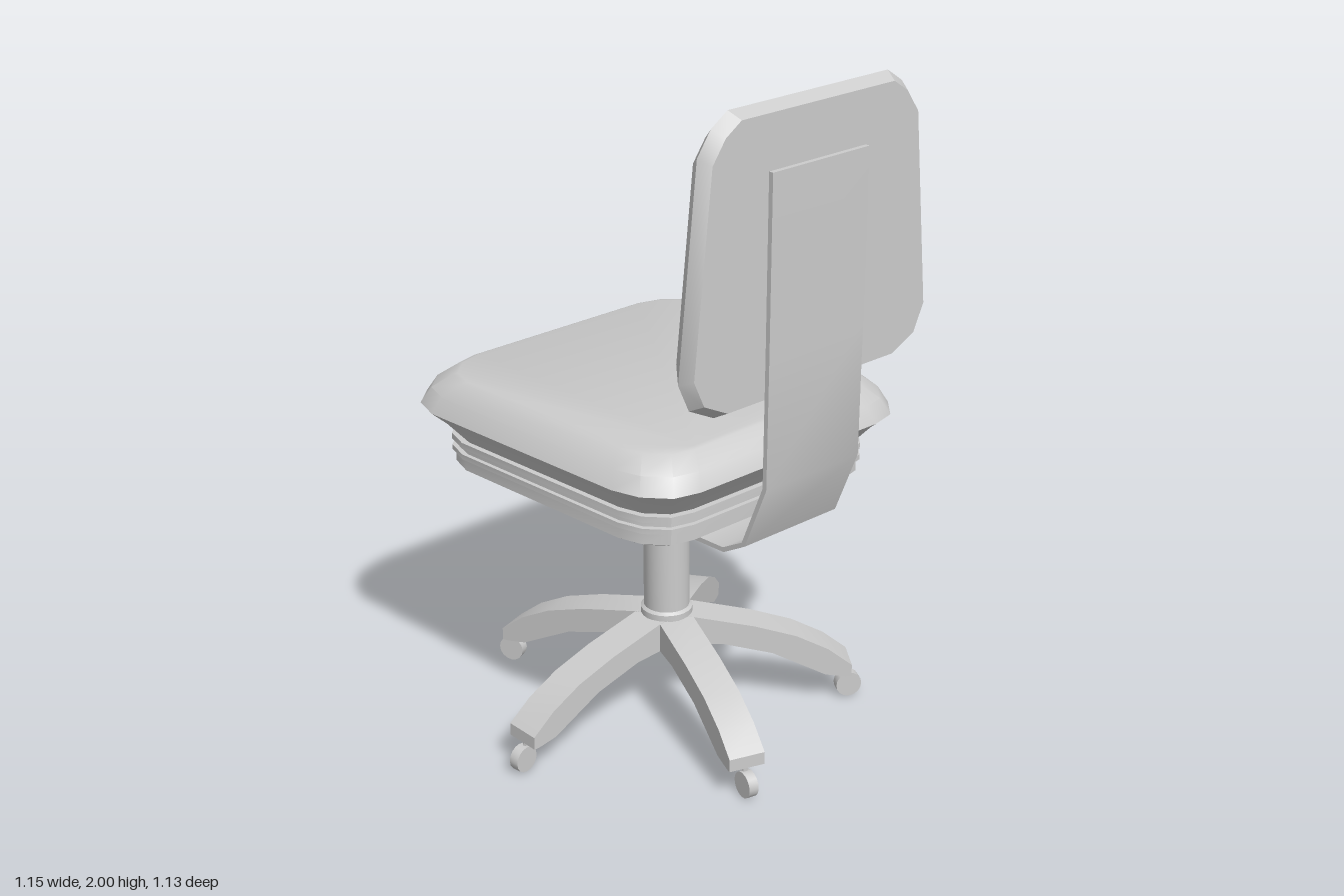
import * as THREE from 'three';
import { toCreasedNormals } from 'three/addons/utils/BufferGeometryUtils.js';

const CZ = -0.021; // the chair's middle plane
const material = new THREE.MeshStandardMaterial({ color: 0xcccccc });

function part(name, geometry, crease = 0.5) {
  const mesh = new THREE.Mesh(toCreasedNormals(geometry, crease), material);
  mesh.name = name;
  return mesh;
}

// Closed solid from a half outline mirrored in z; each ring is [height, inset].
function ringSolid(half, rings) {
  const outline = [...half, ...half.map(([x, z]) => [x, -z]).reverse()];
  const xs = half.map((p) => p[0]);
  const mid = (Math.max(...xs) + Math.min(...xs)) / 2;
  const hx = Math.max(...xs) - mid;
  const hz = Math.max(...half.map((p) => p[1]));
  const n = outline.length, pos = [], index = [];
  for (const [y, inset] of rings) {
    for (const [x, z] of outline) {
      pos.push(mid + (x - mid) * (1 - inset / hx), y, z * (1 - inset / hz));
    }
  }
  for (let i = 0; i < rings.length - 1; i++) {
    for (let j = 0; j < n; j++) {
      const a = i * n + j, c = i * n + (j + 1) % n;
      index.push(a, a + n, c, a + n, c + n, c);
    }
  }
  const top = (rings.length - 1) * n;
  for (let j = 1; j < n - 1; j++) index.push(0, j, j + 1, top, top + j + 1, top + j);
  const g = new THREE.BufferGeometry();
  g.setAttribute('position', new THREE.Float32BufferAttribute(pos, 3));
  g.setIndex(index);
  return g;
}

// Side profile extruded across z, centred on z = 0.
function extrudeProfile(points, width) {
  const shape = new THREE.Shape(points.map(([x, y]) => new THREE.Vector2(x, y)));
  const g = new THREE.ExtrudeGeometry(shape, { depth: width, bevelEnabled: false });
  return g.translate(0, 0, -width / 2);
}

function createSeat() {
  const seat = new THREE.Group();
  seat.name = 'seat';
  seat.position.z = CZ;
  const outline = [
    [0.487, 0.33], [0.468, 0.408], [0.403, 0.468], [0.32, 0.494],
    [-0.39, 0.543], [-0.477, 0.517], [-0.54, 0.447], [-0.563, 0.361],
  ];
  seat.add(part('seatCushion', ringSolid(outline, [
    [0.885, 0.085], [0.947, 0.035], [0.98, 0], [1.027, 0.025], [1.065, 0.072], [1.07, 0.085],
  ])));
  // Ribbed pan under the cushion
  seat.add(part('seatPan', ringSolid(outline, [
    [0.765, 0.13], [0.8, 0.075], [0.835, 0.075], [0.835, 0.067], [0.85, 0.067], [0.85, 0.08],
    [0.868, 0.08], [0.868, 0.067], [0.886, 0.067], [0.886, 0.085],
  ])));
  return seat;
}

function createBackrest() {
  const outline = [
    [0.4, 0.32], [0.357, 0.405], [0.277, 0.442],
    [-0.298, 0.383], [-0.363, 0.338], [-0.4, 0.283],
  ];
  const g = ringSolid(outline, [[0.467, 0.042], [0.52, 0], [0.557, 0.02]]);
  g.rotateZ(-Math.PI / 2).translate(0, 1.598, CZ);
  return part('backrest', g);
}

// Bent flat strip joining the seat pan to the backrest
function createBracket() {
  const path = [
    [0.155, 0.775], [0.185, 0.742], [0.28, 0.727], [0.41, 0.733],
    [0.487, 0.777], [0.563, 0.965], [0.565, 1.35], [0.565, 1.83],
  ].map(([x, y]) => new THREE.Vector2(x, y));
  const side = (s) => path.map((p, i) => {
    const t = path[Math.min(i + 1, path.length - 1)].clone().sub(path[Math.max(i - 1, 0)]).normalize();
    return [p.x + t.y * s, p.y - t.x * s];
  });
  const bracket = part('backBracket', extrudeProfile([...side(0.007), ...side(-0.007).reverse()], 0.345));
  bracket.position.z = -0.018;
  return bracket;
}

function createBase() {
  const base = new THREE.Group();
  base.name = 'base';
  base.position.set(-0.012, 0, CZ);
  // Gas column with collar, sleeve and thin piston
  const profile = [
    [0, 0.24], [0.076, 0.3], [0.076, 0.335], [0.067, 0.342], [0.067, 0.68],
    [0.06, 0.692], [0.048, 0.694], [0.048, 0.77], [0, 0.77],
  ].map(([r, y]) => new THREE.Vector2(r, y));
  base.add(part('column', new THREE.LatheGeometry(profile, 24)));

  const legGeometry = extrudeProfile([
    [0, 0.232], [0.16, 0.222], [0.31, 0.182], [0.47, 0.1], [0.53, 0.09], [0.549, 0.09],
    [0.549, 0.128], [0.477, 0.185], [0.38, 0.235], [0.254, 0.275], [0.07, 0.317], [0, 0.317],
  ], 0.108);
  const wheelGeometry = new THREE.CylinderGeometry(0.039, 0.039, 0.03, 16).rotateX(Math.PI / 2);
  const stemGeometry = new THREE.CylinderGeometry(0.01, 0.01, 0.06, 8);
  for (let i = 0; i < 5; i++) {
    const arm = new THREE.Group();
    arm.name = 'arm' + (i + 1);
    arm.rotation.y = -Math.PI / 2 + i * Math.PI * 0.4;
    const wheel = part('casterWheel', wheelGeometry);
    wheel.position.set(0.548, 0.039, 0);
    wheel.rotation.y = 0.12;
    const stem = part('casterStem', stemGeometry);
    stem.position.set(0.535, 0.07, 0);
    arm.add(part('leg', legGeometry), wheel, stem);
    base.add(arm);
  }
  return base;
}

export function createModel() {
  const chair = new THREE.Group();
  chair.name = 'swivelChair';
  chair.add(createSeat(), createBackrest(), createBracket(), createBase());
  return chair;
}
